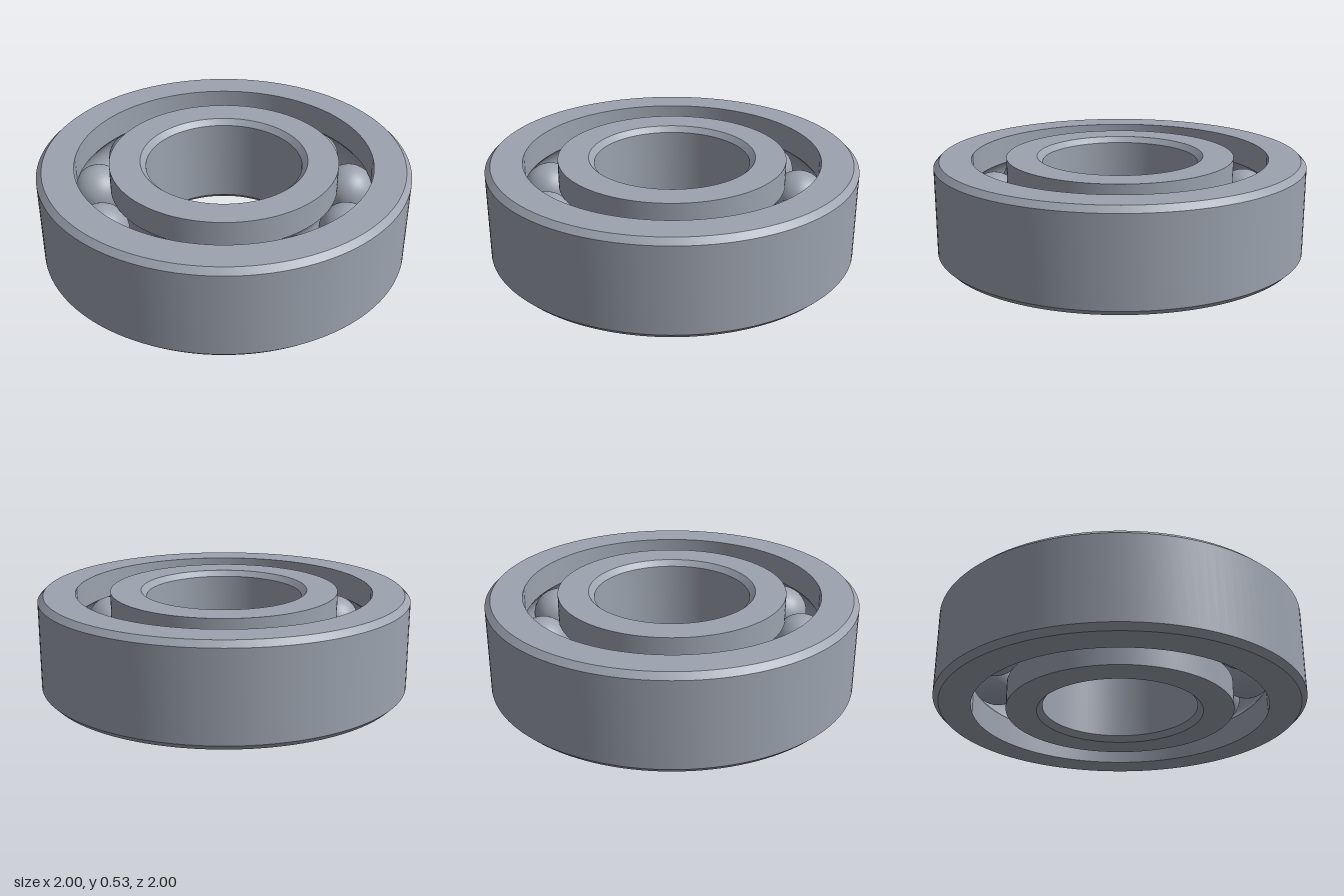
import * as THREE from 'three';
import { toCreasedNormals } from 'three/addons/utils/BufferGeometryUtils.js';

const HEIGHT = 0.53, MID = HEIGHT / 2, CHAMFER = 0.03;
const PITCH = 0.705, BALL_R = 0.145, GROOVE_R = 0.148, BALLS = 11;

// Arc of the ball groove where it cuts a cylindrical wall, listed in the direction dir (1 = upwards)
function groove(wallRadius, dir) {
  const side = Math.sign(wallRadius - PITCH);
  const half = Math.acos(Math.abs(wallRadius - PITCH) / GROOVE_R);
  const points = [];
  for (let i = 0; i <= 12; i++) {
    const a = dir * half * (i / 6 - 1);
    points.push([PITCH + side * GROOVE_R * Math.cos(a), MID + GROOVE_R * Math.sin(a)]);
  }
  return points;
}

// Closed counter-clockwise [radius, height] profile turned around y, with sharp edges kept
function ring(name, profile, material) {
  const points = [...profile, profile[0]].map(([r, y]) => new THREE.Vector2(r, y));
  const mesh = new THREE.Mesh(toCreasedNormals(new THREE.LatheGeometry(points, 128), 0.5), material);
  mesh.name = name;
  return mesh;
}

export function createModel() {
  const model = new THREE.Group();
  model.name = 'ballBearing';
  const steel = new THREE.MeshStandardMaterial({ color: 0x9ca3af });
  steel.name = 'steel';

  // Outer race: chamfered outside, grooved inside
  model.add(ring('outerRace', [
    [0.8, 0], [1 - CHAMFER, 0], [1, CHAMFER], [1, HEIGHT - CHAMFER],
    [1 - CHAMFER, HEIGHT], [0.8, HEIGHT], ...groove(0.8, -1),
  ], steel));

  // Inner race: grooved outside, chamfered bore
  model.add(ring('innerRace', [
    [0.42 + CHAMFER, 0], [0.615, 0], ...groove(0.615, 1), [0.615, HEIGHT],
    [0.42 + CHAMFER, HEIGHT], [0.42, HEIGHT - CHAMFER], [0.42, CHAMFER],
  ], steel));

  // Balls evenly spaced between the races
  const balls = new THREE.Group();
  balls.name = 'balls';
  const ballGeometry = new THREE.SphereGeometry(BALL_R, 40, 24);
  for (let i = 0; i < BALLS; i++) {
    const a = 0.2 + (i / BALLS) * Math.PI * 2;
    const ball = new THREE.Mesh(ballGeometry, steel);
    ball.name = 'ball';
    ball.position.set(PITCH * Math.cos(a), MID, PITCH * Math.sin(a));
    balls.add(ball);
  }
  model.add(balls);
  return model;
}
